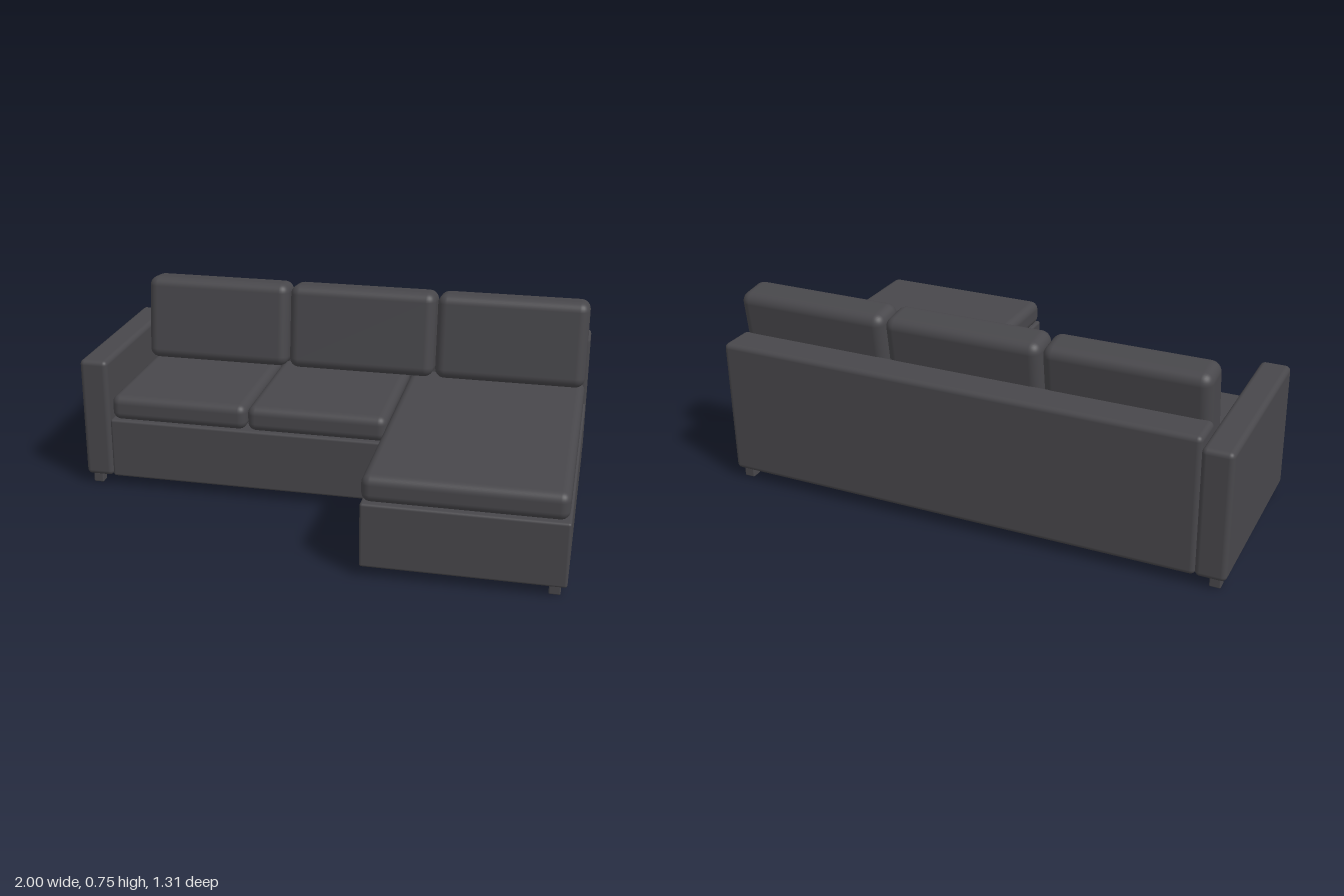
import * as THREE from 'three';
import { RoundedBoxGeometry } from 'three/addons/geometries/RoundedBoxGeometry.js';

export function createModel() {
  const sofa = new THREE.Group();
  sofa.name = 'cornerSofa';

  const fabric = new THREE.MeshStandardMaterial({ color: 0x48474b });
  fabric.name = 'charcoal fabric';

  // Rounded block given by its [min, max] range on each axis
  function block(name, [x0, x1], [y0, y1], [z0, z1], radius, segments = 4) {
    const geometry = new RoundedBoxGeometry(x1 - x0, y1 - y0, z1 - z0, segments, radius);
    const mesh = new THREE.Mesh(geometry, fabric);
    mesh.name = name;
    mesh.position.set((x0 + x1) / 2, (y0 + y1) / 2, (z0 + z1) / 2);
    sofa.add(mesh);
    return mesh;
  }

  // Frame
  block('backrest', [-0.888, 1], [0.04, 0.577], [-0.655, -0.508], 0.02);
  block('armrest', [-1, -0.885], [0.04, 0.54], [-0.655, 0.107], 0.02);
  block('seatBase', [-0.885, 0.26], [0.04, 0.29], [-0.51, 0.102], 0.01);
  block('chaiseBase', [0.26, 1], [0.04, 0.29], [-0.51, 0.655], 0.01);

  // Seat cushions
  block('seatCushionRight', [-0.878, -0.313], [0.288, 0.392], [-0.505, 0.1], 0.034);
  block('seatCushionMiddle', [-0.308, 0.255], [0.288, 0.392], [-0.505, 0.1], 0.034);
  block('chaiseCushion', [0.26, 0.992], [0.288, 0.392], [-0.505, 0.647], 0.034);

  // Back cushions, leaning backwards
  ['Right', 'Middle', 'Left'].forEach((side, i) => {
    const x = -0.567 + i * 0.625;
    const cushion = block('backCushion' + side, [x - 0.309, x + 0.309], [0.395, 0.75], [-0.524, -0.374], 0.04);
    cushion.rotation.x = -THREE.MathUtils.degToRad(7);
  });

  // Short feet under the outer corners
  for (const [x, z] of [[-0.957, -0.612], [0.957, -0.612], [-0.957, 0.067], [0.957, 0.613]]) {
    block('foot', [x - 0.021, x + 0.021], [0, 0.042], [z - 0.021, z + 0.021], 0.005, 2);
  }

  return sofa;
}
